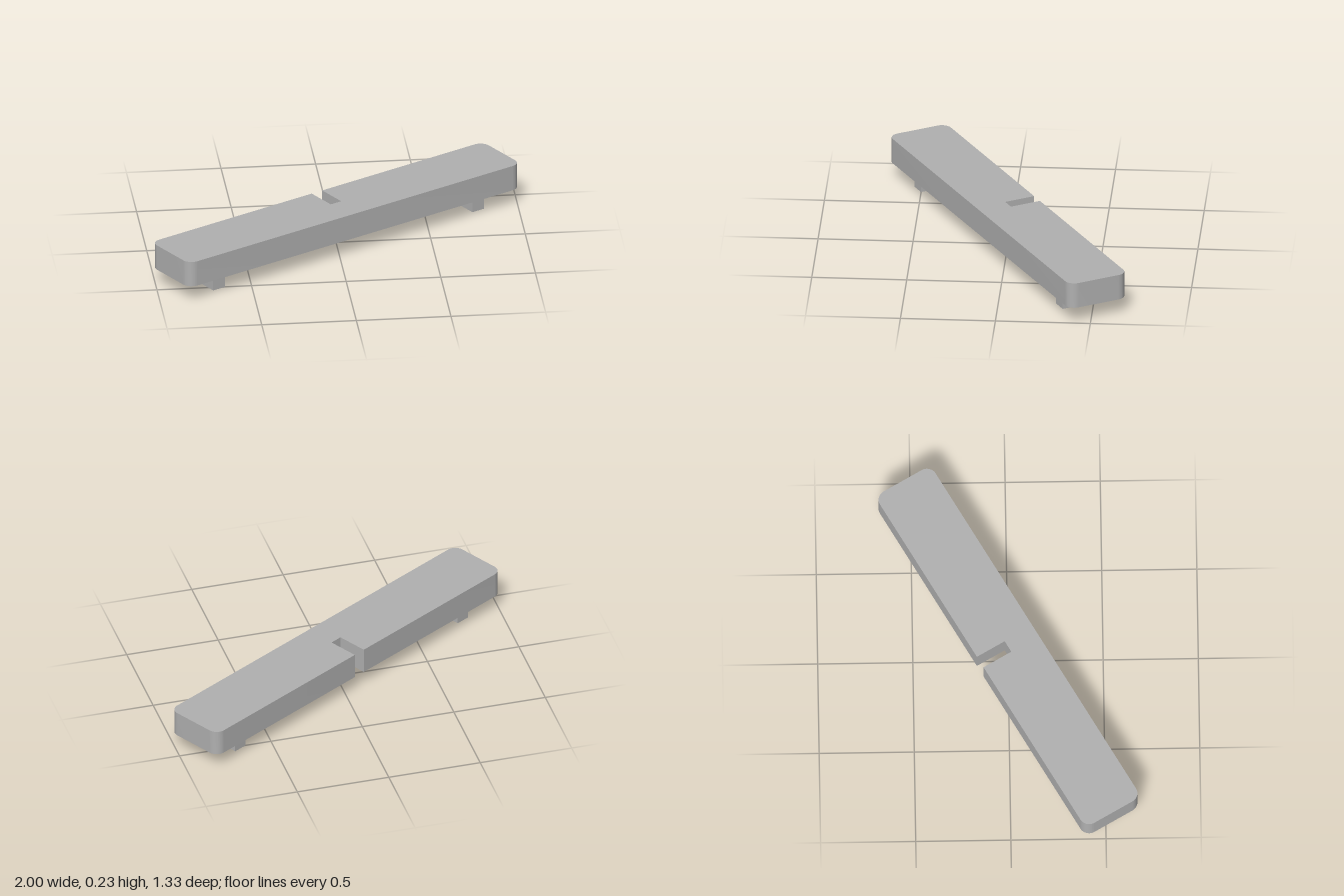
import * as THREE from 'three';
import { toCreasedNormals } from 'three/addons/utils/BufferGeometryUtils.js';

const HALF_LENGTH = 1.079, HALF_WIDTH = 0.17, CORNER = 0.053;
const FOOT_HEIGHT = 0.088, TOP = 0.228;
const SLOT_HALF = 0.034;

// Rounded bar outline with a square slot cut from the back edge to the centre line
function barOutline() {
  const L = HALF_LENGTH, W = HALF_WIDTH, r = CORNER;
  const s = new THREE.Shape();
  s.moveTo(-L + r, -W);
  s.lineTo(L - r, -W);
  s.absarc(L - r, -W + r, r, -Math.PI / 2, 0);
  s.lineTo(L, W - r);
  s.absarc(L - r, W - r, r, 0, Math.PI / 2);
  s.lineTo(SLOT_HALF, W);
  s.lineTo(SLOT_HALF, 0);
  s.lineTo(-SLOT_HALF, 0);
  s.lineTo(-SLOT_HALF, W);
  s.lineTo(-L + r, W);
  s.absarc(-L + r, W - r, r, Math.PI / 2, Math.PI);
  s.lineTo(-L, -W + r);
  s.absarc(-L + r, -W + r, r, Math.PI, Math.PI * 1.5);
  return s;
}

export function createModel() {
  const group = new THREE.Group();
  group.name = 'slottedBar';
  const grey = new THREE.MeshStandardMaterial({ color: 0xb0b0b0 });
  grey.name = 'grey';

  // Slotted bar, laid flat
  const geometry = new THREE.ExtrudeGeometry(barOutline(), {
    depth: TOP - FOOT_HEIGHT, bevelEnabled: false, curveSegments: 12,
  });
  geometry.rotateX(-Math.PI / 2);
  const bar = new THREE.Mesh(toCreasedNormals(geometry, 0.5), grey);
  bar.name = 'bar';
  bar.position.y = FOOT_HEIGHT;
  group.add(bar);

  // One block foot under each end
  for (const side of [-1, 1]) {
    const foot = new THREE.Mesh(new THREE.BoxGeometry(0.077, FOOT_HEIGHT, 0.227), grey);
    foot.name = side > 0 ? 'leftFoot' : 'rightFoot';
    foot.position.set(side * 0.843, FOOT_HEIGHT / 2, 0);
    group.add(foot);
  }

  // The whole piece stands turned by thirty degrees
  group.rotation.y = Math.PI / 6;
  return group;
}
